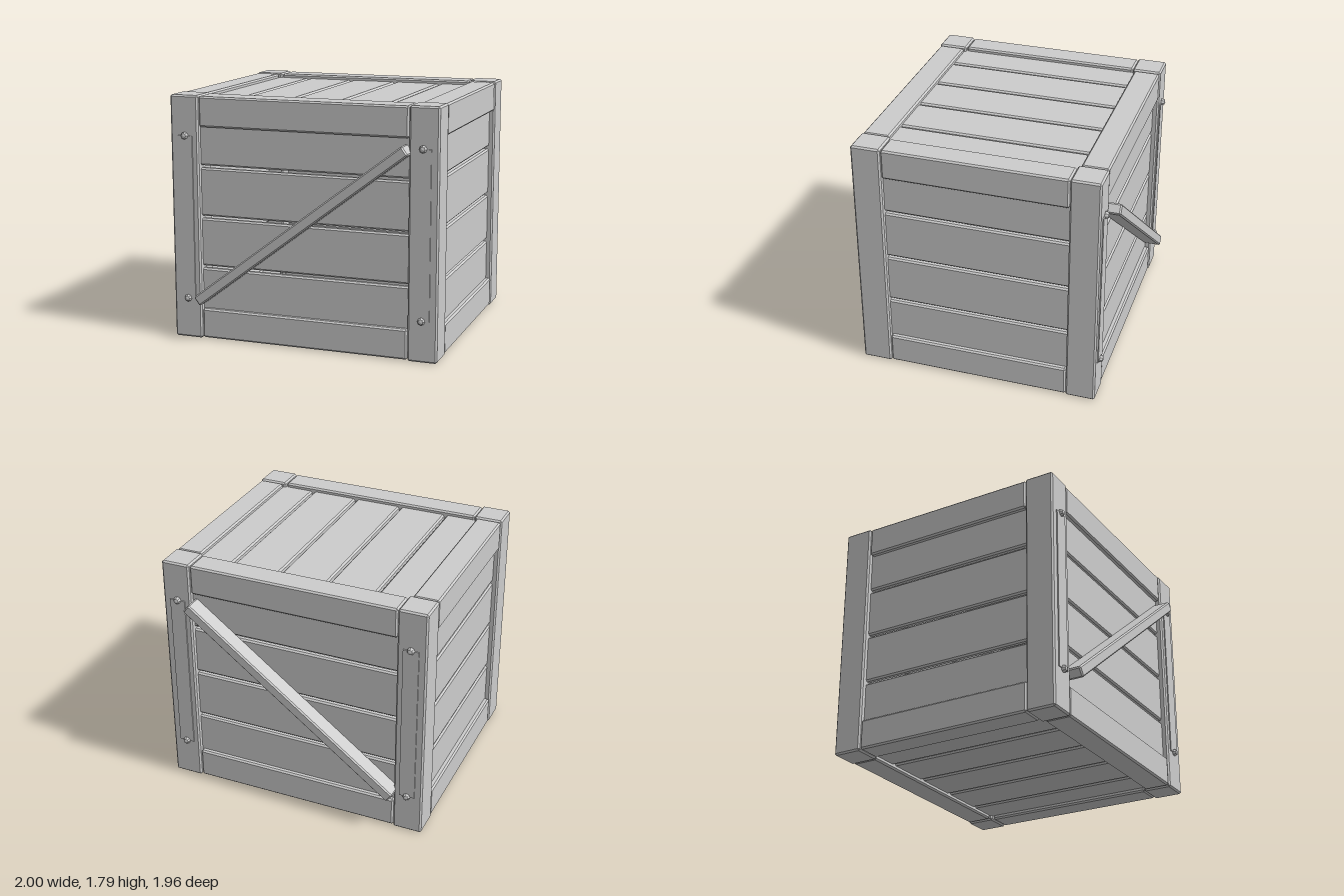
import * as THREE from 'three';
import { ConvexGeometry } from 'three/addons/geometries/ConvexGeometry.js';

const grey = new THREE.MeshStandardMaterial({ color: 0xcccccc });
grey.name = 'plain grey';

// Box with chamfered edges: the hull of three slightly inset corners per box corner
function chamferBox(w, h, d, c = 0.012) {
  const points = [];
  for (const sx of [-1, 1]) for (const sy of [-1, 1]) for (const sz of [-1, 1]) {
    const x = w / 2, y = h / 2, z = d / 2;
    points.push(
      new THREE.Vector3(sx * x, sy * (y - c), sz * (z - c)),
      new THREE.Vector3(sx * (x - c), sy * y, sz * (z - c)),
      new THREE.Vector3(sx * (x - c), sy * (y - c), sz * z));
  }
  return new ConvexGeometry(points);
}

export function createModel() {
  const crate = new THREE.Group();
  crate.name = 'crate';

  const H = 1.79, W = 1, D = 0.892, MID = H / 2;

  function add(name, geometry, x, y, z) {
    const mesh = new THREE.Mesh(geometry, grey);
    mesh.name = name;
    mesh.position.set(x, y, z);
    crate.add(mesh);
    return mesh;
  }

  const post = chamferBox(0.215, H, 0.217);
  const longRail = chamferBox(1.562, 0.22, 0.195);
  const sideRail = chamferBox(0.19, 0.22, 1.345);
  const longPlank = chamferBox(1.6, 0.353, 0.05);
  const sidePlank = chamferBox(0.05, 0.353, 1.4);
  const lidPlank = chamferBox(0.348, 0.05, 1.44);
  const brace = chamferBox(1.968, 0.078, 0.135, 0.01);
  const strap = new THREE.BoxGeometry(0.115, 1.2, 0.012);

  // Domed bolt head, pointing along +z
  const bolt = new THREE.LatheGeometry([
    [0.027, 0], [0.027, 0.012], [0.018, 0.025], [0, 0.03],
  ].map(([r, y]) => new THREE.Vector2(r, y)), 8).toNonIndexed();
  bolt.rotateX(Math.PI / 2);
  bolt.computeVertexNormals();

  for (const s of [-1, 1]) {
    // Corner posts with strap plates and bolts
    for (const t of [-1, 1]) {
      add('cornerPost', post, s * (W - 0.1075), MID, t * (D - 0.1085));
      add('strap', strap, s * 0.887, 0.9, t * (D + 0.002));
      for (const y of [0.3, 1.5]) {
        add('bolt', bolt, s * 0.887, y, t * (D + 0.003)).rotation.y = t > 0 ? 0 : Math.PI;
      }
    }

    // Top and bottom rails
    for (const y of [0.115, H - 0.115]) {
      add('longRail', longRail, 0, y, s * (D - 0.1035));
      add('sideRail', sideRail, s * (W - 0.1), y, 0);
    }

    // Wall planks with narrow gaps
    for (let i = 0; i < 4; i++) {
      const y = 0.346 + i * 0.371;
      add('wallPlank', longPlank, 0, y, s * (D - 0.067));
      add('sidePlank', sidePlank, s * (W - 0.067), y, 0);
    }

    // Lid and floor planks
    for (let i = -2; i <= 2; i++) {
      add(s > 0 ? 'lidPlank' : 'floorPlank', lidPlank, i * 0.367, MID + s * (MID - 0.06), 0);
    }

    // Diagonal brace
    add('diagonalBrace', brace, -0.002, 0.897, s * 0.912).rotation.z = Math.atan2(1.194, 1.565);
  }

  return crate;
}
